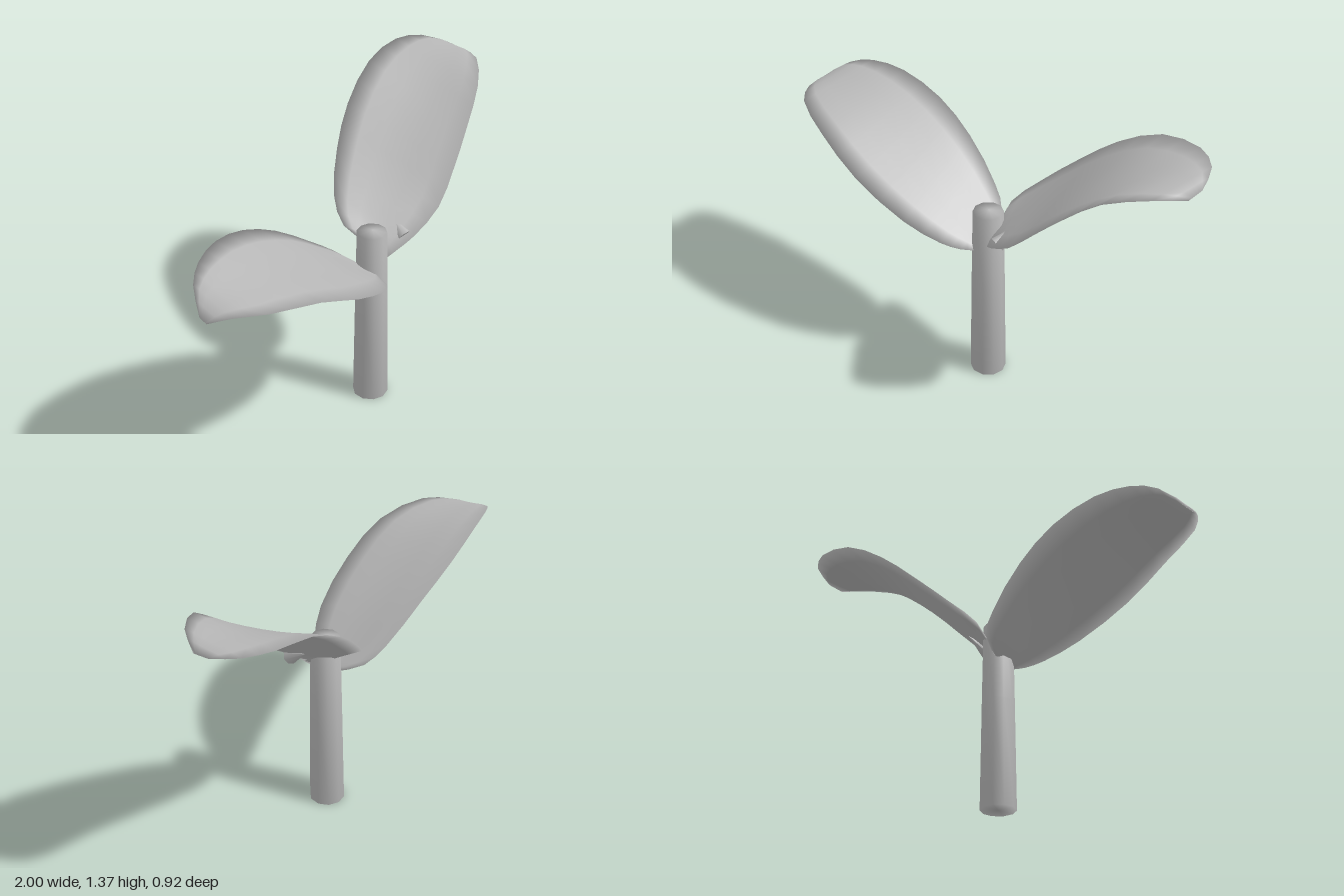
import * as THREE from 'three';
import { mergeVertices } from 'three/addons/utils/BufferGeometryUtils.js';

const grey = new THREE.MeshStandardMaterial({ color: 0xb8b8b8 });
grey.name = 'grey';

const curve = (pts) => new THREE.CatmullRomCurve3(pts.map((p) => new THREE.Vector3(...p)));
const hump = (t) => 4 * t * (1 - t);

// Thin closed blade spanning two rim curves; both skins meet along the rim,
// so the smooth normals turn outward there.
function makeLeaf(name, rearPts, frontPts, sag) {
  const rear = curve(rearPts), front = curve(frontPts);
  const nu = 16, nv = 6, half = 0.008, pos = [], idx = [];
  const towardsLeft = rearPts[rearPts.length - 1][0] > 0;
  for (const side of [1, -1]) {
    const start = pos.length / 3;
    for (let i = 0; i <= nu; i++) {
      const u = i / nu, a = rear.getPoint(u), b = front.getPoint(u);
      for (let j = 0; j <= nv; j++) {
        const s = j / nv, p = a.clone().lerp(b, s);
        const inside = i > 0 && i < nu && j > 0 && j < nv;
        p.y += (inside ? side * half : 0) - sag * hump(u) * hump(s);
        pos.push(p.x, p.y, p.z);
        if (i < nu && j < nv) {
          const k = start + i * (nv + 1) + j, n = k + nv + 1;
          if ((side > 0) === towardsLeft) idx.push(k, k + 1, n, k + 1, n + 1, n);
          else idx.push(k, n, k + 1, k + 1, n, n + 1);
        }
      }
    }
  }
  const geo = new THREE.BufferGeometry();
  geo.setAttribute('position', new THREE.Float32BufferAttribute(pos, 3));
  geo.setIndex(idx);
  const welded = mergeVertices(geo, 1e-4);
  welded.computeVertexNormals();
  const mesh = new THREE.Mesh(welded, grey);
  mesh.name = name;
  return mesh;
}

export function createModel() {
  const group = new THREE.Group();
  group.name = 'sprout';

  // Tapered stem, shaded softly over its ends
  const profile = [[0, 0], [0.08, 0], [0.073, 0.5], [0.067, 0.868], [0, 0.876]]
    .map((p) => new THREE.Vector2(...p));
  const stem = new THREE.Mesh(new THREE.LatheGeometry(profile, 10), grey);
  stem.name = 'stem';
  stem.position.set(0.097, 0, 0.064);
  group.add(stem);

  // Lower leaf
  group.add(makeLeaf('rightLeaf',
    [[0.07, 0.68, 0.05], [0, 0.75, -0.08], [-0.1, 0.825, -0.115], [-0.3, 0.97, -0.122], [-0.5, 1.075, -0.1],
      [-0.7, 1.14, -0.04], [-0.85, 1.145, 0.03], [-0.94, 1.115, 0.1], [-1, 1.04, 0.2]],
    [[0.08, 0.67, 0.12], [0.05, 0.685, 0.18], [0, 0.72, 0.25], [-0.13, 0.8, 0.35], [-0.37, 0.925, 0.435],
      [-0.6, 1.035, 0.455], [-0.83, 1.075, 0.41], [-0.94, 1.065, 0.32], [-1, 1.03, 0.24]], 0.015));

  // Upper leaf
  group.add(makeLeaf('leftLeaf',
    [[0.13, 0.76, 0.06], [0.07, 0.845, -0.08], [0.12, 0.93, -0.19], [0.25, 1.075, -0.3], [0.4, 1.215, -0.38],
      [0.6, 1.335, -0.44], [0.8, 1.37, -0.46], [0.92, 1.365, -0.41], [0.99, 1.34, -0.3]],
    [[0.15, 0.73, 0.11], [0.19, 0.765, 0.135], [0.26, 0.815, 0.165], [0.4, 0.91, 0.18], [0.53, 1.045, 0.15],
      [0.66, 1.18, 0.105], [0.8, 1.305, 0.04], [0.94, 1.35, -0.09], [1, 1.33, -0.22]], 0.015));

  // Small pinched fold near the base of the upper leaf
  const fold = new THREE.Mesh(new THREE.ConeGeometry(0.035, 0.13, 8), grey);
  fold.name = 'leafFold';
  fold.position.set(0.25, 0.84, 0.07);
  fold.quaternion.setFromUnitVectors(new THREE.Vector3(0, 1, 0), new THREE.Vector3(0.1, 0.5, -0.8).normalize());
  group.add(fold);

  return group;
}
